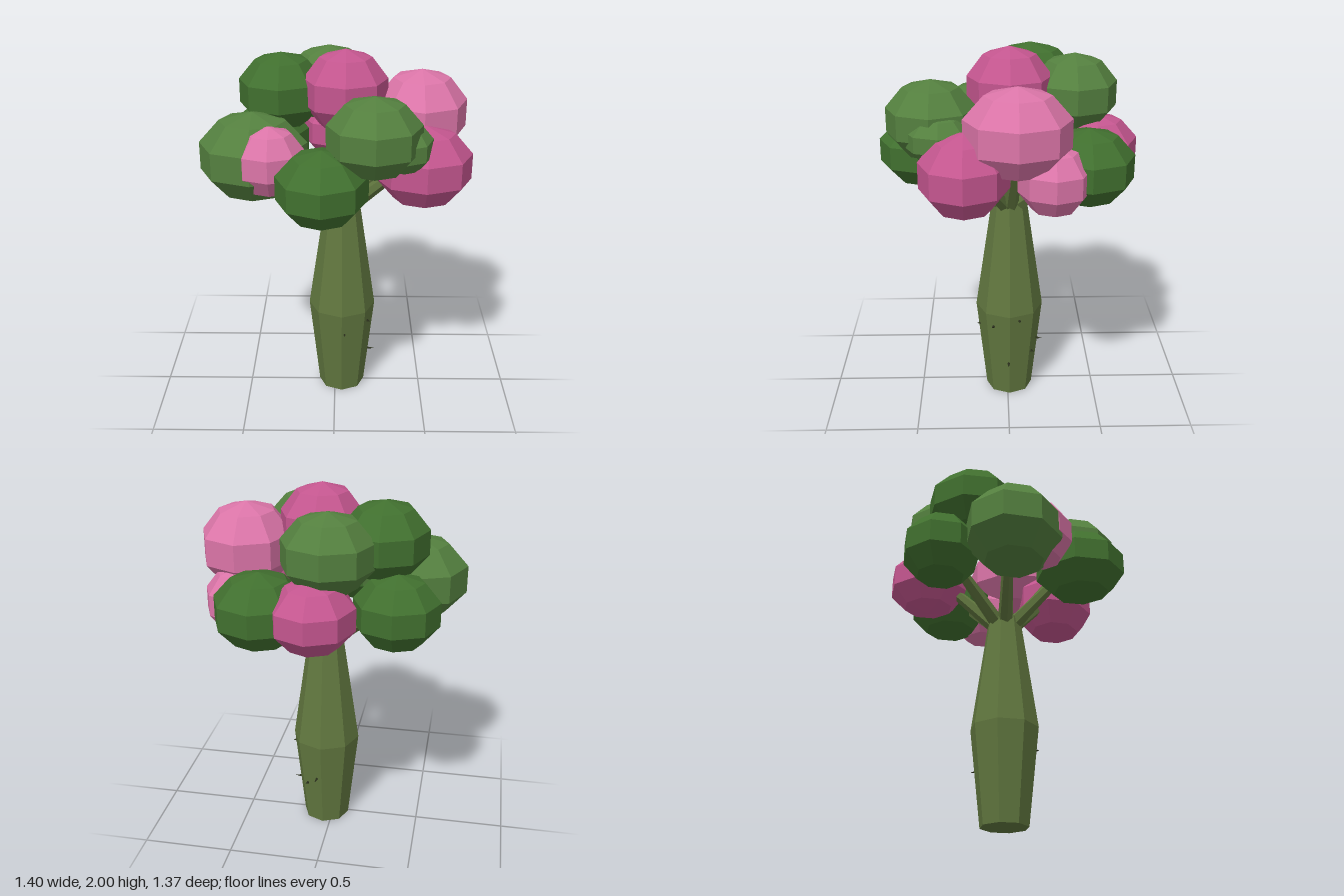
import * as THREE from 'three';

const flat = (color) => new THREE.MeshStandardMaterial({ color, flatShading: true });
const UP = new THREE.Vector3(0, 1, 0);

// Tapered cylinder running from point a to point b
function taper(name, a, b, r0, r1, sides, material) {
  const dir = b.clone().sub(a);
  const mesh = new THREE.Mesh(new THREE.CylinderGeometry(r1, r0, dir.length(), sides), material);
  mesh.position.copy(a).addScaledVector(dir, 0.5);
  mesh.quaternion.setFromUnitVectors(UP, dir.normalize());
  mesh.name = name;
  return mesh;
}

export function createModel() {
  const tree = new THREE.Group();
  tree.name = 'tree';
  const bark = flat(0x61773f);
  const thornMat = flat(0x2a2f1c);
  const darkGreen = flat(0x41702f);
  const lightGreen = flat(0x54803f);
  const darkPink = flat(0xc4568f);
  const lightPink = flat(0xdb75a8);

  // Bottle-shaped eight-sided trunk
  const cx = 0.04, cz = -0.01;
  const profile = [[0, 0], [0.13, 0], [0.187, 0.53], [0.092, 1.18], [0, 1.2]];
  const trunk = new THREE.Mesh(
    new THREE.LatheGeometry(profile.map(([r, y]) => new THREE.Vector2(r, y)), 8), bark);
  trunk.position.set(cx, 0, cz);
  trunk.name = 'trunk';
  tree.add(trunk);

  // Branches spreading from the trunk top into the crown
  const branches = new THREE.Group();
  branches.name = 'branches';
  const tips = [
    [-0.38, 1.45, 0.1], [-0.05, 1.45, 0.4], [0.4, 1.48, 0.2], [0.3, 1.47, -0.36],
    [0.02, 1.48, -0.4], [-0.32, 1.45, -0.26], [0.42, 1.64, -0.05], [0.05, 1.75, 0], [0.2, 1.6, 0.33],
  ];
  tips.forEach(([x, y, z], i) => {
    const d = new THREE.Vector2(x - cx, z - cz);
    d.multiplyScalar(Math.min(0.055 / d.length(), 1));
    const start = new THREE.Vector3(cx + d.x, 1.15, cz + d.y);
    branches.add(taper(`branch${i + 1}`, start, new THREE.Vector3(x, y, z), 0.042, 0.025, 6, bark));
  });
  tree.add(branches);

  // Tiny thorns: angle round the trunk from +z towards +x, height, length
  const thorns = new THREE.Group();
  thorns.name = 'thorns';
  [[5, 0.405, 0.02], [58, 0.455, 0.02], [88, 0.215, 0.045], [108, 0.5, 0.015],
    [145, 0.26, 0.02], [170, 0.31, 0.035]].forEach(([deg, y, len], i) => {
    const t = THREE.MathUtils.degToRad(deg);
    const r = (0.13 + 0.057 * y / 0.53) * 0.95;
    const at = (q) => new THREE.Vector3(cx + q * Math.sin(t), y, cz + q * Math.cos(t));
    thorns.add(taper(`thorn${i + 1}`, at(r), at(r + len), 0.009, 0.001, 4, thornMat));
  });
  tree.add(thorns);

  // Faceted foliage clumps: material, centre, half sizes
  const crown = new THREE.Group();
  crown.name = 'crown';
  const ball = new THREE.SphereGeometry(1, 8, 5);
  const rim = 1 / Math.sin(Math.PI * 0.4); // widest ring fills the stated half size
  ball.scale(rim, 1, rim);
  [
    [darkPink, [0.055, 1.78, -0.01], [0.22, 0.22, 0.22]],
    [lightPink, [0.45, 1.66, -0.04], [0.24, 0.23, 0.265]],
    [darkPink, [0.455, 1.455, 0.22], [0.245, 0.215, 0.225]],
    [lightPink, [0.45, 1.42, -0.22], [0.18, 0.18, 0.18]],
    [lightGreen, [0.195, 1.66, 0.385], [0.235, 0.205, 0.23]],
    [lightGreen, [0.34, 1.6, 0.34], [0.145, 0.13, 0.17]],
    [darkGreen, [-0.06, 1.42, 0.44], [0.23, 0.195, 0.245]],
    [lightGreen, [-0.42, 1.475, 0.13], [0.28, 0.235, 0.26]],
    [lightPink, [-0.325, 1.49, 0.26], [0.18, 0.185, 0.17]],
    [darkGreen, [-0.285, 1.75, -0.13], [0.225, 0.205, 0.25]],
    [lightGreen, [-0.035, 1.735, -0.35], [0.235, 0.21, 0.225]],
    [darkGreen, [-0.37, 1.43, -0.28], [0.22, 0.2, 0.21]],
    [darkGreen, [0.3, 1.44, -0.4], [0.235, 0.2, 0.235]],
    [darkPink, [0.02, 1.45, -0.46], [0.215, 0.19, 0.225]],
  ].forEach(([material, centre, size], i) => {
    const clump = new THREE.Mesh(ball, material);
    clump.position.set(...centre);
    clump.scale.set(...size);
    clump.name = `foliage${i + 1}`;
    crown.add(clump);
  });
  tree.add(crown);

  return tree;
}
